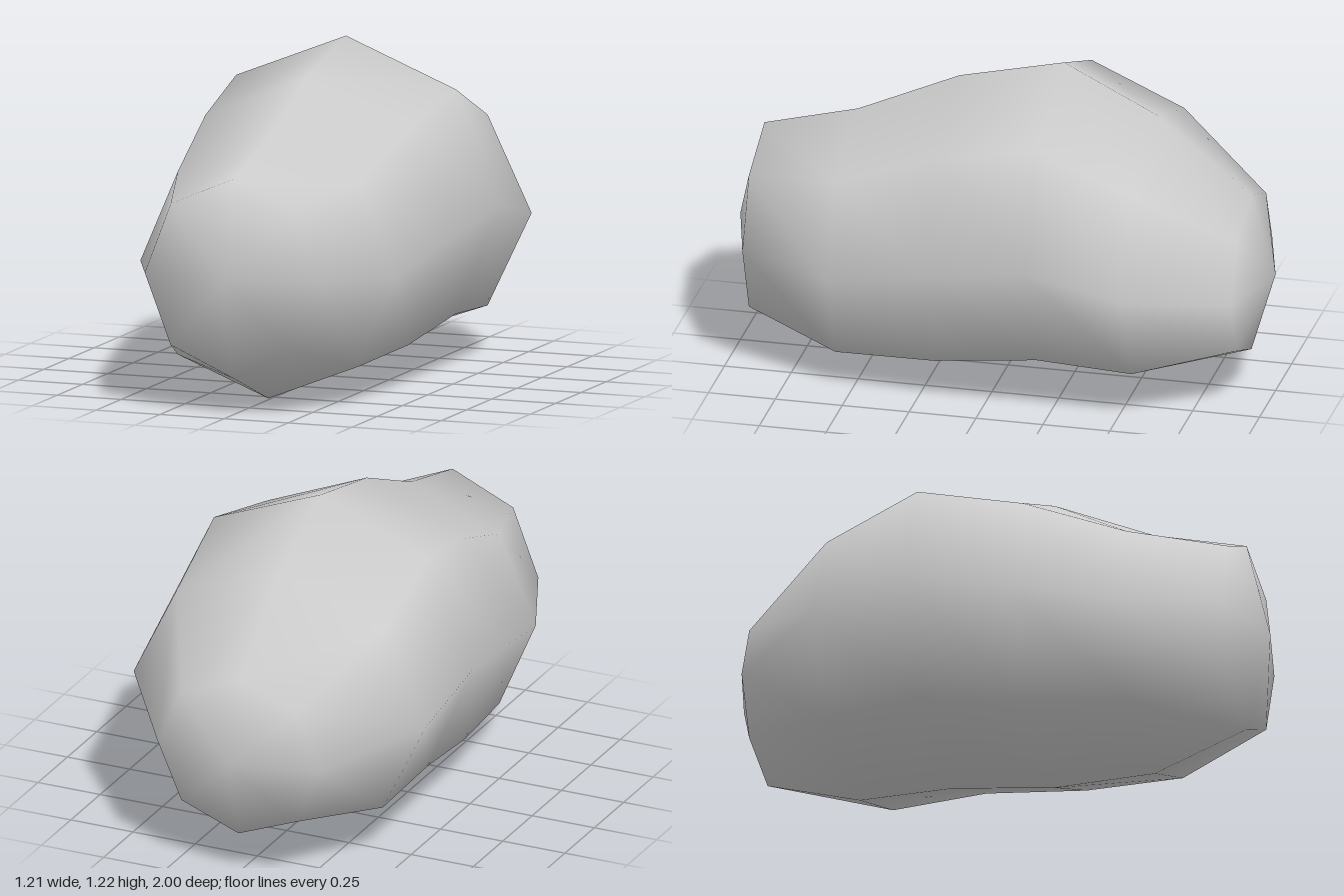
import * as THREE from 'three';

const SIDES = 8;
// Cross-sections from front to back: z, bottom y, top y, half width
const RINGS = [
  [0.91, 0.135, 0.87, 0.345],
  [0.56, 0.005, 0.96, 0.5],
  [0.18, 0.0, 1.13, 0.56],
  [-0.21, 0.05, 1.22, 0.607],
  [-0.56, 0.05, 1.045, 0.587],
  [-0.91, 0.155, 0.765, 0.325],
];

// Closed smooth skin over the rings, with a single tip vertex at each end
function loftGeometry(rings, frontTip, backTip) {
  const positions = [];
  const index = [];
  for (const [z, bottom, top, halfWidth] of rings) {
    for (let j = 0; j < SIDES; j++) {
      const a = (j / SIDES) * Math.PI * 2;
      positions.push(
        halfWidth * Math.cos(a),
        (top + bottom) / 2 + ((top - bottom) / 2) * Math.sin(a),
        z
      );
    }
  }
  const front = rings.length * SIDES;
  const back = front + 1;
  positions.push(...frontTip, ...backTip);

  const last = (rings.length - 1) * SIDES;
  for (let j = 0; j < SIDES; j++) {
    const k = (j + 1) % SIDES;
    index.push(front, j, k, back, last + k, last + j);
    for (let r = 0; r < last; r += SIDES) {
      const a = r + j, b = r + k, c = a + SIDES, d = b + SIDES;
      index.push(a, c, b, b, c, d);
    }
  }
  const geometry = new THREE.BufferGeometry();
  geometry.setAttribute('position', new THREE.Float32BufferAttribute(positions, 3));
  geometry.setIndex(index);
  geometry.computeVertexNormals();
  return geometry;
}

export function createModel() {
  const group = new THREE.Group();
  group.name = 'roundedBoulder';

  const grey = new THREE.MeshStandardMaterial({ color: 0xcccccc });
  grey.name = 'light grey';

  // Humped, tapering body
  const body = new THREE.Mesh(loftGeometry(RINGS, [0, 0.503, 1], [0, 0.46, -1]), grey);
  body.name = 'body';
  group.add(body);
  return group;
}
